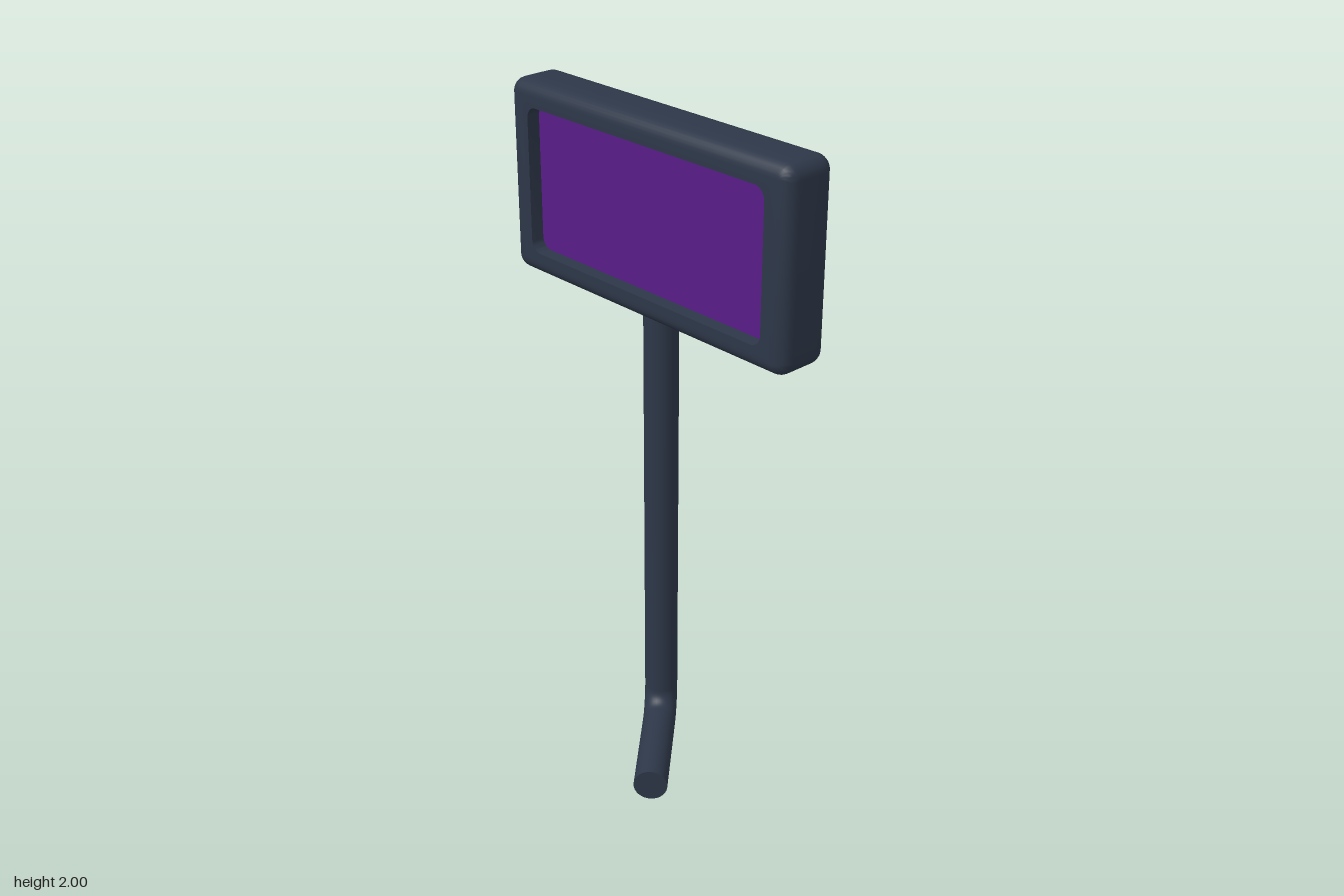
import * as THREE from 'three';
import { toCreasedNormals } from 'three/addons/utils/BufferGeometryUtils.js';

const W = 1.09, H = 0.575, T = 0.17, ROUND = 0.04; // display body
const RIM_X = 0.082, RIM_Y = 0.07, RECESS = 0.042; // front frame
const R = 0.051, BEND = 0.09, TOE = 0.395;         // bent pole

// Closed outline of a rounded rectangle, counter-clockwise
function roundedRect(w, h, r, z, steps = 8) {
  const points = [];
  for (let c = 0; c < 4; c++) {
    const sx = c === 0 || c === 3 ? 1 : -1, sy = c < 2 ? 1 : -1;
    for (let i = 0; i <= steps; i++) {
      const a = (c + i / steps) * Math.PI / 2;
      points.push([sx * (w / 2 - r) + r * Math.cos(a), sy * (h / 2 - r) + r * Math.sin(a), z]);
    }
  }
  return points;
}

// Skin joining successive outlines, starting from a closed back
function loft(rings) {
  const n = rings[0].length, index = [];
  const position = rings.flat(2);
  for (let k = 0; k < rings.length - 1; k++) {
    for (let i = 0; i < n; i++) {
      const j = (i + 1) % n, a = k * n + i, b = k * n + j;
      index.push(a, b, b + n, a, b + n, a + n);
    }
  }
  const centre = position.length / 3;
  position.push(0, 0, rings[0][0][2]);
  for (let i = 0; i < n; i++) index.push(centre, (i + 1) % n, i);
  const geometry = new THREE.BufferGeometry();
  geometry.setAttribute('position', new THREE.Float32BufferAttribute(position, 3));
  geometry.setIndex(index);
  return toCreasedNormals(geometry, 0.6);
}

export function createModel() {
  const model = new THREE.Group();
  const dark = new THREE.MeshStandardMaterial({ color: 0x2d3748 });
  const purple = new THREE.MeshStandardMaterial({ color: 0x581c87 });
  const add = (parent, name, geometry, material) => {
    const mesh = new THREE.Mesh(geometry, material);
    mesh.name = name;
    parent.add(mesh);
    return mesh;
  };

  // Display, turned about the pole
  const display = new THREE.Group();
  display.name = 'display';
  display.position.y = 2 - H / 2;
  display.rotation.y = THREE.MathUtils.degToRad(-42.3);
  model.add(display);

  // Housing: rounded back edge, rounded front edge, then the recess wall
  const rings = [];
  for (const side of [-1, 1]) {
    for (let i = 0; i <= 6; i++) {
      const a = (side < 0 ? 6 - i : i) / 6 * Math.PI / 2;
      const inset = ROUND * (1 - Math.cos(a));
      const z = side * (T / 2 - ROUND * (1 - Math.sin(a)));
      rings.push(roundedRect(W - 2 * inset, H - 2 * inset, ROUND + 0.003 - inset, z));
    }
  }
  const openW = W - 2 * RIM_X, openH = H - 2 * RIM_Y;
  rings.push(roundedRect(openW, openH, 0.035, T / 2));
  rings.push(roundedRect(openW, openH, 0.035, T / 2 - RECESS));
  add(display, 'housing', loft(rings), dark);

  // Screen at the bottom of the recess
  const outline = roundedRect(openW, openH, 0.035, 0).map(([x, y]) => new THREE.Vector2(x, y));
  add(display, 'screen', new THREE.ShapeGeometry(new THREE.Shape(outline)), purple)
    .position.z = T / 2 - RECESS;

  // Pole: upright, quarter bend and forward toe
  const pole = new THREE.Group();
  pole.name = 'pole';
  model.add(pole);
  const bottom = R + BEND, top = 1.46;
  add(pole, 'upright', new THREE.CylinderGeometry(R, R, top - bottom, 32), dark)
    .position.y = (top + bottom) / 2;
  const bend = new THREE.TorusGeometry(BEND, R, 32, 16, Math.PI / 2);
  bend.rotateZ(Math.PI).rotateY(-Math.PI / 2);
  add(pole, 'bend', bend, dark).position.set(0, bottom, BEND);
  const toe = new THREE.CylinderGeometry(R, R, TOE - BEND, 32).rotateX(Math.PI / 2);
  add(pole, 'toe', toe, dark).position.set(0, R, (TOE + BEND) / 2);

  return model;
}
